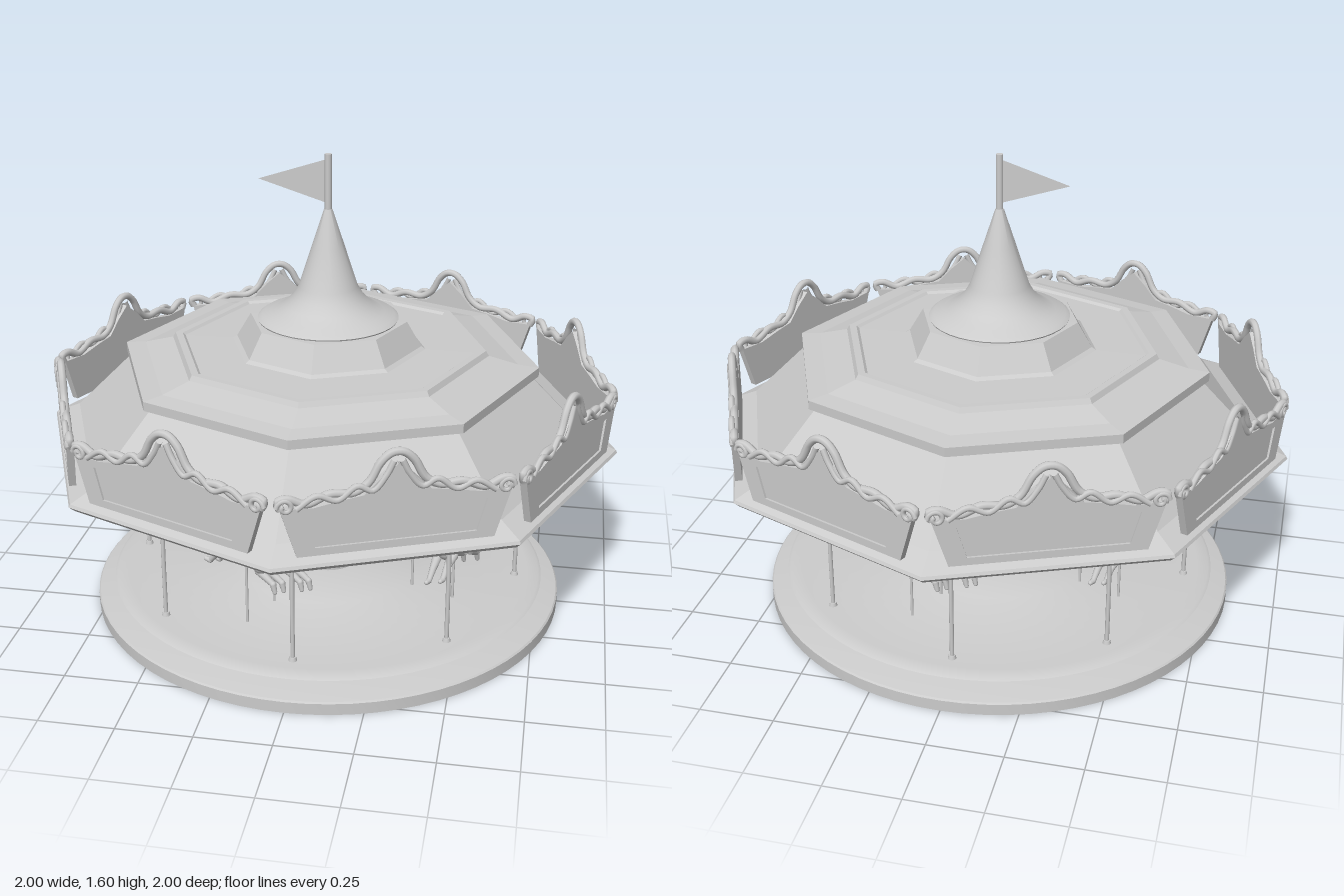
import * as THREE from 'three';
import { toCreasedNormals } from 'three/addons/utils/BufferGeometryUtils.js';

const smooth = new THREE.MeshStandardMaterial({ color: 0xcccccc });
const faceted = new THREE.MeshStandardMaterial({ color: 0xcccccc, flatShading: true });
const thin = new THREE.MeshStandardMaterial({ color: 0xcccccc, side: THREE.DoubleSide });
const V = (x, y, z = 0) => new THREE.Vector3(x, y, z);

function add(parent, name, geometry, material = smooth) {
  const mesh = new THREE.Mesh(geometry, material);
  mesh.name = name;
  parent.add(mesh);
  return mesh;
}

function group(parent, name) {
  const g = new THREE.Group();
  g.name = name;
  parent.add(g);
  return g;
}

// Turned part from [radius, height] pairs, running outward along the underside and back over the top
function turned(profile, sides) {
  const geo = new THREE.LatheGeometry(profile.map(([r, y]) => new THREE.Vector2(r, y)), sides);
  return sides === 8 ? geo : toCreasedNormals(geo, 0.5);
}

function rod(parent, name, r, y0, y1, x = 0, z = 0) {
  const m = add(parent, name, new THREE.CylinderGeometry(r, r, y1 - y0, 12));
  m.position.set(x, (y0 + y1) / 2, z);
  return m;
}

const tube = (points, r, segments = 24, closed = false) =>
  new THREE.TubeGeometry(new THREE.CatmullRomCurve3(points, closed), segments, r, 8, closed);

// Tapered limb between two points, rounded by a ball at each end
function limb(parent, name, a, b, ra, rb) {
  const g = group(parent, name);
  const shaft = add(g, name + 'Shaft', new THREE.CylinderGeometry(rb, ra, a.distanceTo(b), 10, 1, true));
  shaft.position.copy(a).lerp(b, 0.5);
  shaft.quaternion.setFromUnitVectors(V(0, 1, 0), b.clone().sub(a).normalize());
  add(g, name + 'Start', new THREE.SphereGeometry(ra, 10, 8)).position.copy(a);
  add(g, name + 'End', new THREE.SphereGeometry(rb, 10, 8)).position.copy(b);
}

function ball(parent, name, pos, size, tilt = 0, roll = 0) {
  const m = add(parent, name, new THREE.SphereGeometry(1, 16, 12));
  m.position.set(...pos);
  m.scale.set(...size);
  m.rotation.set(tilt, 0, roll);
}

// Leaping long-eared animal, facing +z, with its pole through the origin
function createMount() {
  const g = new THREE.Group();
  g.name = 'mount';
  ball(g, 'body', [0, 0, -0.015], [0.036, 0.039, 0.1], -0.15);
  ball(g, 'chest', [0, 0.013, 0.05], [0.034, 0.043, 0.045], -0.4);
  ball(g, 'haunch', [0, -0.012, -0.085], [0.04, 0.046, 0.048]);
  ball(g, 'saddle', [0, 0.022, -0.015], [0.036, 0.025, 0.042], -0.15);
  limb(g, 'neck', V(0, 0.025, 0.065), V(0, 0.068, 0.09), 0.031, 0.021);
  ball(g, 'head', [0, 0.074, 0.108], [0.021, 0.024, 0.036], 0.35);
  ball(g, 'tail', [0, 0.012, -0.132], [0.014, 0.016, 0.022], 0.5);
  for (const s of [-1, 1]) {
    ball(g, 'ear', [s * 0.016, 0.112, 0.084], [0.008, 0.034, 0.011], -0.25, -s * 0.2);
    const x = s * 0.026;
    const up = s > 0 ? 0.02 : 0;
    limb(g, 'upperForeleg', V(x, -0.005, 0.06), V(x, -0.05 + up, 0.1), 0.019, 0.012);
    limb(g, 'lowerForeleg', V(x, -0.05 + up, 0.1), V(x, -0.085 + up, 0.128), 0.012, 0.009);
    limb(g, 'forePaw', V(x, -0.085 + up, 0.128), V(x, -0.084 + up, 0.146), 0.01, 0.008);
    limb(g, 'thigh', V(x, -0.02, -0.08), V(x, -0.066 + up, -0.07), 0.03, 0.015);
    limb(g, 'hindLeg', V(x, -0.066 + up, -0.07), V(x, -0.1 + up, -0.125), 0.015, 0.01);
    limb(g, 'hindPaw', V(x, -0.1 + up, -0.125), V(x, -0.128 + up, -0.132), 0.011, 0.008);
  }
  return g;
}

// Trapezoid rounding board with a raised border, crest and scrollwork, facing +z
function createBoard() {
  const g = new THREE.Group();
  g.name = 'roundingBoard';
  const crest = [[0.35, 0.795], [0.25, 0.79], [0.17, 0.805], [0.1, 0.815], [0.05, 0.865], [0, 0.905]];
  const outline = new THREE.Shape();
  outline.moveTo(-0.3, 0.635);
  outline.lineTo(0.3, 0.635);
  crest.forEach(([x, y]) => outline.lineTo(x, y));
  crest.slice(0, -1).reverse().forEach(([x, y]) => outline.lineTo(-x, y));
  outline.closePath();
  add(g, 'panel', new THREE.ExtrudeGeometry(outline, { depth: 0.016, bevelEnabled: false })).position.z = -0.012;

  const border = outline.clone();
  const opening = new THREE.Path();
  opening.moveTo(-0.245, 0.66);
  opening.lineTo(-0.275, 0.765);
  opening.lineTo(0.275, 0.765);
  opening.lineTo(0.245, 0.66);
  opening.closePath();
  border.holes.push(opening);
  add(g, 'border', new THREE.ExtrudeGeometry(border, { depth: 0.007, bevelEnabled: false })).position.z = 0.004;

  // Crest moulding, arching over the middle
  const half = [[0.345, 0.79], [0.355, 0.815], [0.325, 0.822], [0.27, 0.8], [0.2, 0.825],
    [0.13, 0.822], [0.085, 0.85], [0.05, 0.91], [0.022, 0.935]];
  const path = [...half.map(([x, y]) => V(-x, y)), V(0, 0.94), ...half.slice().reverse().map(([x, y]) => V(x, y))];
  add(g, 'crestMoulding', tube(path, 0.013, 90));
  for (const s of [-1, 1]) {
    const vine = [[0.3, 0.79], [0.24, 0.826], [0.18, 0.806], [0.12, 0.845], [0.075, 0.826], [0.035, 0.87], [0.012, 0.915]];
    add(g, 'scroll', tube(vine.map(([x, y]) => V(s * x, y, 0.008)), 0.01, 40));
    const curl = [];
    for (let i = 0; i <= 12; i++) {
      const a = i * 0.6, r = 0.026 - i * 0.0016;
      curl.push(V(s * (0.333 + r * Math.cos(a)), 0.798 + r * Math.sin(a), 0.008));
    }
    add(g, 'endCurl', tube(curl, 0.008, 30));
  }
  return g;
}

export function createModel() {
  const model = new THREE.Group();
  model.name = 'carousel';

  // Round base with overhanging deck and inner step
  add(model, 'base', turned([[0, 0], [0.83, 0], [0.83, 0.04], [0.825, 0.045], [0.67, 0.079], [0, 0.079]], 72));
  add(model, 'deck', turned([[0, 0.075], [0.76, 0.08], [0.77, 0.086], [0.76, 0.092], [0.72, 0.095],
    [0.35, 0.095], [0.33, 0.105], [0, 0.105]], 72));

  // Central column with gallery and railing
  add(model, 'column', turned([[0.105, 0.1], [0.105, 0.25], [0.1, 0.255], [0.1, 0.385], [0.11, 0.4], [0.14, 0.415],
    [0.2, 0.42], [0.205, 0.43], [0.2, 0.44], [0.1, 0.44], [0.1, 0.86]], 40));
  const railing = group(model, 'galleryRailing');
  for (const [y, r] of [[0.545, 0.006], [0.49, 0.003]]) {
    const rail = add(railing, 'rail', new THREE.TorusGeometry(0.198, r, 8, 48));
    rail.rotation.x = Math.PI / 2;
    rail.position.y = y;
  }

  // Octagonal canopy: recessed ceiling, soffit, rim and stepped tiers
  add(model, 'canopy', turned([[0, 0.87], [0.25, 0.86], [0.46, 0.78], [0.69, 0.64], [0.7, 0.595], [0.85, 0.595],
    [0.86, 0.585], [0.98, 0.582], [1, 0.6], [0.995, 0.61], [0.91, 0.645], [0.895, 0.66], [0.725, 0.83],
    [0.7, 0.855], [0.72, 0.862], [0.72, 0.893], [0.65, 0.9], [0.63, 0.905], [0.55, 0.925], [0.54, 0.942],
    [0.515, 0.942], [0.505, 0.934], [0.335, 0.936], [0.32, 0.945], [0.27, 1.03], [0, 1.034]], 8), faceted);
  const ring = add(model, 'ceilingRing', new THREE.TorusGeometry(0.65, 0.013, 8, 72));
  ring.rotation.x = Math.PI / 2;
  ring.position.y = 0.593;

  // Spire, flagpole and pennant
  add(model, 'spire', turned([[0, 1.02], [0.235, 1.025], [0.24, 1.035], [0.225, 1.045], [0.19, 1.055], [0.15, 1.08],
    [0.12, 1.11], [0.1, 1.145], [0.055, 1.285], [0.014, 1.41], [0, 1.41]], 36));
  rod(model, 'flagpole', 0.012, 1.39, 1.595);
  const pennant = new THREE.Shape([[-0.005, 1.577], [-0.235, 1.503], [-0.005, 1.43]].map(([x, y]) => new THREE.Vector2(x, y)));
  add(model, 'pennant', new THREE.ShapeGeometry(pennant), thin);

  for (let i = 0; i < 8; i++) {
    const a = (i * Math.PI) / 4;
    const sector = group(model, 'sector');
    sector.rotation.y = a;
    // Canopy pole that bends outward below the soffit
    add(sector, 'canopyPole', tube([V(0, 0.09, 0.675), V(0, 0.3, 0.675), V(0, 0.5, 0.675), V(0, 0.535, 0.682),
      V(0, 0.565, 0.702), V(0, 0.6, 0.708)], 0.0075, 40));
    add(sector, 'poleFoot', new THREE.CylinderGeometry(0.011, 0.015, 0.015, 12)).position.set(0, 0.1, 0.675);
    rod(sector, 'railingPost', 0.004, 0.44, 0.545, 0, 0.198);

    const board = createBoard();
    board.position.z = 0.905;
    const side = group(model, 'boardSide');
    side.rotation.y = a + Math.PI / 8;
    side.add(board);
  }

  // Four pairs of mounts, inner and outer, at alternating heights
  for (let i = 0; i < 4; i++) {
    const a = ((67.5 + 90 * i) * Math.PI) / 180;
    for (const [r, high] of [[0.51, i % 2 === 1], [0.35, i % 2 === 0]]) {
      const x = r * Math.sin(a), z = r * Math.cos(a);
      const mount = createMount();
      mount.position.set(x, high ? 0.37 : 0.3, z);
      mount.rotation.y = a - Math.PI / 2;
      model.add(mount);
      rod(model, 'mountPole', 0.005, 0.09, r > 0.4 ? 0.77 : 0.83, x, z);
    }
  }
  return model;
}
